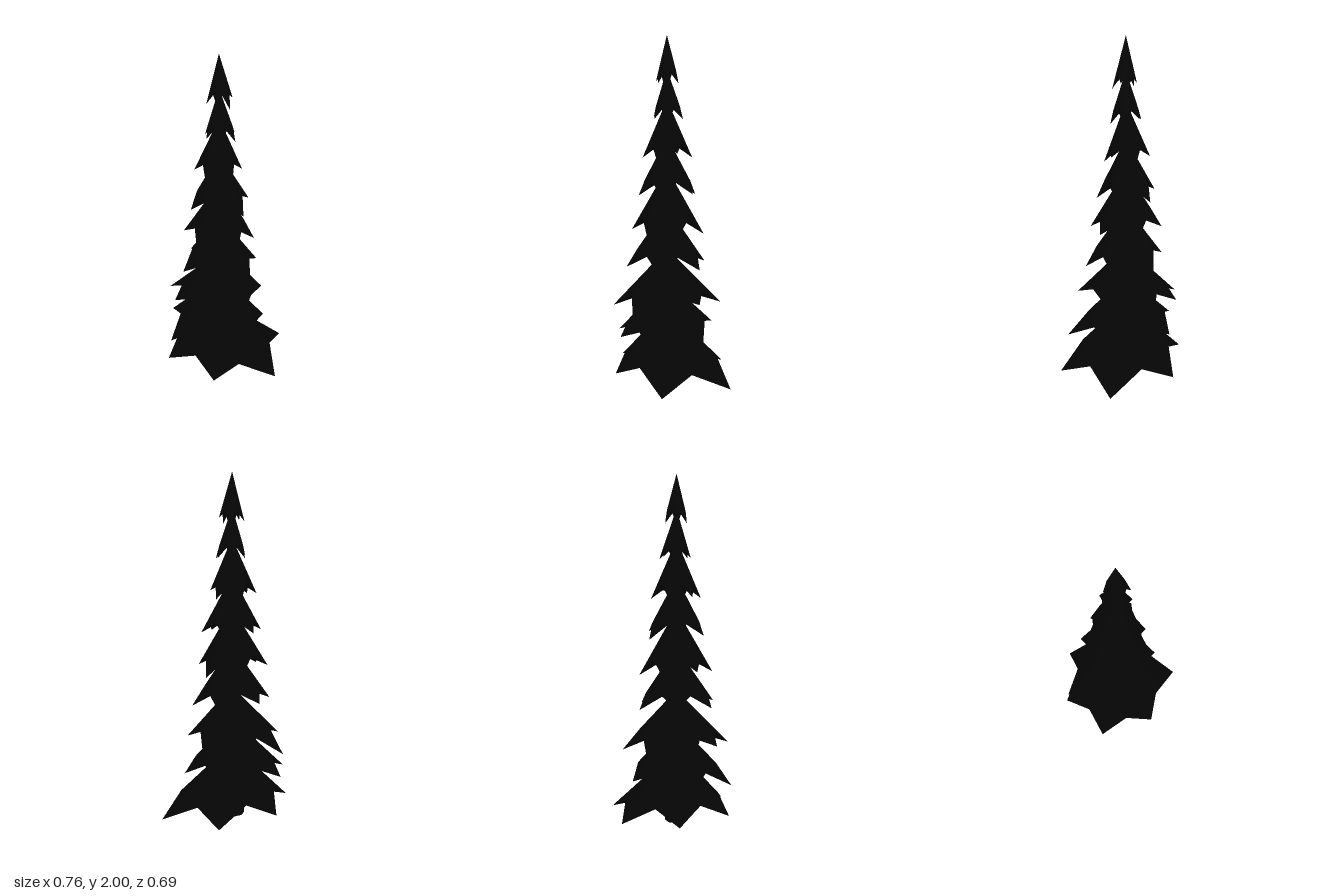
import * as THREE from 'three';

const AXIS = { x: -0.03, z: 0.03 };

// Each tier: apex height and its drooping branch tips as [angle in degrees, radius, height]
const LOWER_TIERS = [
  { apex: 0.43, tips: [[1, 0.408, 0.02], [63, 0.326, 0.07], [124, 0.345, 0.08], [182, 0.35, 0.08], [240, 0.376, 0.05], [300, 0.43, 0.01]] },
  { apex: 0.59, tips: [[12, 0.35, 0.22], [65, 0.29, 0.28], [117, 0.34, 0.25], [167, 0.32, 0.28], [235, 0.32, 0.3], [310, 0.28, 0.26]] },
  { apex: 0.78, tips: [[36, 0.306, 0.45], [82, 0.316, 0.45], [130, 0.28, 0.49], [171, 0.344, 0.43], [217, 0.315, 0.48], [259, 0.32, 0.45], [312, 0.26, 0.49]] },
];

// Upper tiers: apex height and tips
const UPPER_TIERS = [
  { apex: 1.03, tips: [[8, 0.238, 0.67], [66, 0.25, 0.69], [125, 0.23, 0.7], [184, 0.222, 0.72], [246, 0.238, 0.69], [305, 0.235, 0.68]] },
  { apex: 1.25, tips: [[30, 0.21, 0.89], [94, 0.207, 0.89], [152, 0.21, 0.92], [210, 0.212, 0.92], [272, 0.213, 0.87], [335, 0.2, 0.9]] },
  { apex: 1.43, tips: [[5, 0.171, 1.09], [64, 0.175, 1.1], [124, 0.175, 1.11], [185, 0.172, 1.12], [240, 0.185, 1.09], [303, 0.18, 1.11]] },
  { apex: 1.64, tips: [[22, 0.124, 1.29], [88, 0.14, 1.31], [146, 0.14, 1.33], [204, 0.138, 1.33], [266, 0.145, 1.31], [330, 0.125, 1.34]] },
  { apex: 1.81, tips: [[50, 0.09, 1.53], [112, 0.083, 1.54], [172, 0.086, 1.53], [230, 0.1, 1.55], [292, 0.1, 1.53], [352, 0.096, 1.52]] },
  { apex: 2.0, tips: [[8, 0.077, 1.71], [66, 0.066, 1.74], [130, 0.07, 1.73], [190, 0.062, 1.74], [248, 0.07, 1.73], [310, 0.074, 1.75]] },
];

const polar = (deg, r, y) => {
  const a = THREE.MathUtils.degToRad(deg);
  return [r * Math.cos(a), y, r * Math.sin(a)];
};

// Star-shaped cone: branch tips alternate with higher, inset notches; the underside is hollowed
function tierGeometry(apexY, tips) {
  const rim = [];
  let notchSum = 0;
  tips.forEach(([a, r, y], i) => {
    const [b0, r2, y2] = tips[(i + 1) % tips.length];
    const b = b0 < a ? b0 + 360 : b0;
    const tipY = (y + y2) / 2;
    const notchY = tipY + (apexY - tipY) * 0.23;
    notchSum += notchY;
    rim.push(polar(a, r, y), polar((a + b) / 2, 0.74 * (r + r2) / 2, notchY));
  });
  // Upper skin and underside keep separate rims, so each is smooth and the edge stays sharp
  const n = rim.length;
  const points = [[0, apexY, 0], ...rim, [0, notchSum / tips.length + 0.02, 0], ...rim];
  const index = [];
  for (let i = 0; i < n; i++) {
    const j = (i + 1) % n;
    index.push(0, 1 + j, 1 + i, n + 1, n + 2 + i, n + 2 + j);
  }
  const geometry = new THREE.BufferGeometry();
  geometry.setAttribute('position', new THREE.Float32BufferAttribute(points.flat(), 3));
  geometry.setIndex(index);
  geometry.computeVertexNormals();
  return geometry;
}

export function createModel() {
  const tree = new THREE.Group();
  tree.name = 'pineTree';
  const foliage = new THREE.MeshStandardMaterial({ color: 0x050505, side: THREE.DoubleSide });
  const bark = new THREE.MeshStandardMaterial({ color: 0x050505 });

  // Trunk, running up inside the lower tiers
  const trunk = new THREE.Mesh(new THREE.CylinderGeometry(0.06, 0.068, 0.35, 8), bark);
  trunk.name = 'trunk';
  trunk.position.set(AXIS.x - 0.012, 0.175, AXIS.z);
  tree.add(trunk);

  // Stacked tiers of branches
  [...LOWER_TIERS, ...UPPER_TIERS].forEach(({ apex, tips }, i) => {
    const tier = new THREE.Mesh(tierGeometry(apex, tips), foliage);
    tier.name = `branchTier${i + 1}`;
    tier.position.set(AXIS.x, 0, AXIS.z);
    tree.add(tier);
  });
  return tree;
}
